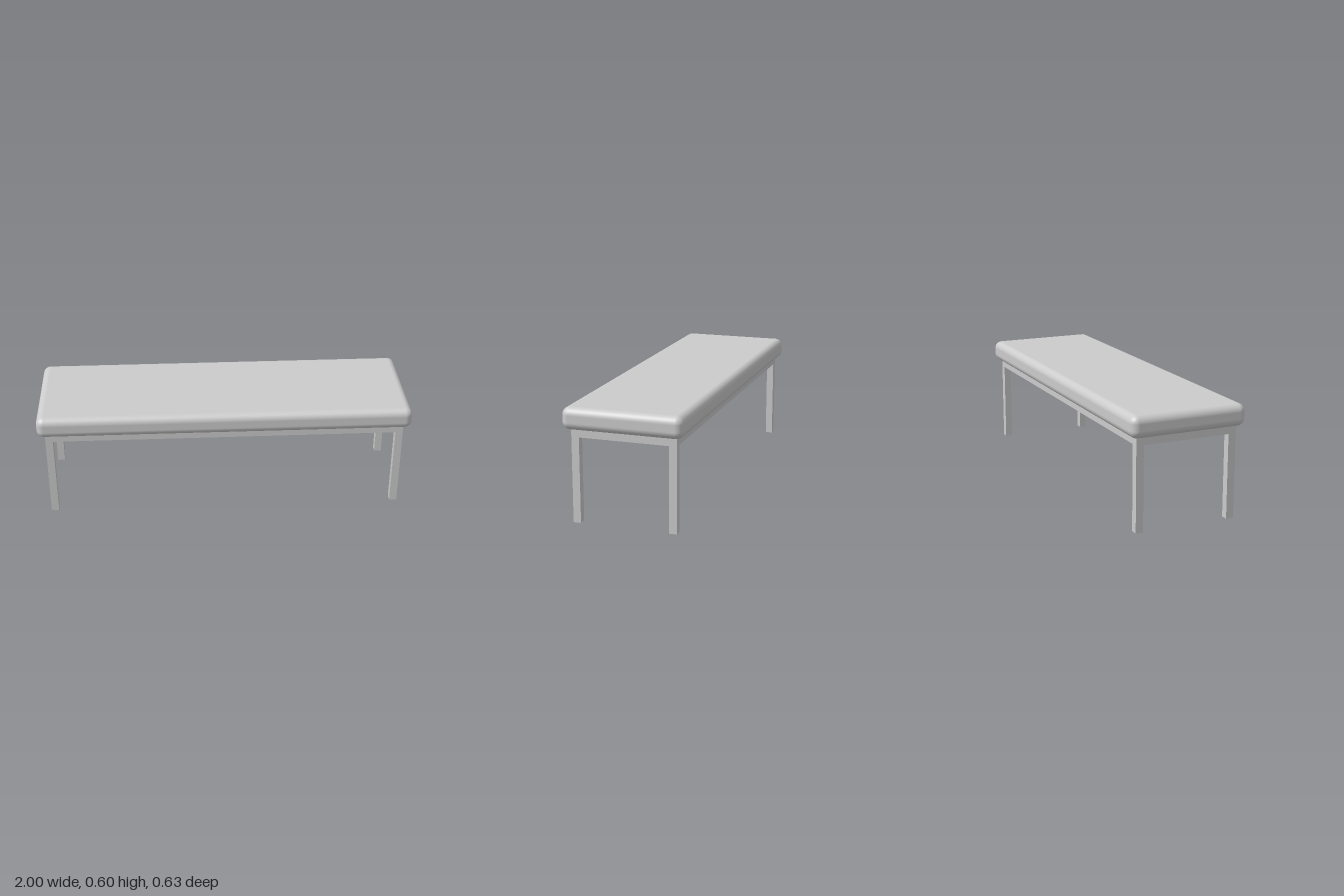
import * as THREE from 'three';
import { RoundedBoxGeometry } from 'three/addons/geometries/RoundedBoxGeometry.js';

export function createModel() {
  const bench = new THREE.Group();
  bench.name = 'bench';
  const material = new THREE.MeshStandardMaterial({ color: 0xcccccc });

  const bar = 0.04;          // square tube section
  const frameTop = 0.485;
  const legX = 0.94, legZ = 0.253; // leg centre lines

  const add = (name, geometry, x, y, z) => {
    const mesh = new THREE.Mesh(geometry, material);
    mesh.name = name;
    mesh.position.set(x, y, z);
    bench.add(mesh);
  };

  // Padded seat with rounded edges
  const seatHeight = 0.6 - frameTop;
  add('seatCushion', new RoundedBoxGeometry(2, seatHeight, 0.626, 6, 0.04), 0, frameTop + seatHeight / 2, 0);

  // Four square legs
  const legGeometry = new THREE.BoxGeometry(bar, frameTop, bar);
  for (const sx of [1, -1]) {
    for (const sz of [1, -1]) {
      const name = (sz > 0 ? 'front' : 'back') + (sx > 0 ? 'Left' : 'Right') + 'Leg';
      add(name, legGeometry, sx * legX, frameTop / 2, sz * legZ);
    }
  }

  // Rails joining the legs under the seat
  const railY = frameTop - bar / 2;
  const longRail = new THREE.BoxGeometry(legX * 2 - bar, bar, bar);
  const shortRail = new THREE.BoxGeometry(bar, bar, legZ * 2 - bar);
  for (const s of [1, -1]) {
    add(s > 0 ? 'frontRail' : 'backRail', longRail, 0, railY, s * legZ);
    add(s > 0 ? 'leftRail' : 'rightRail', shortRail, s * legX, railY, 0);
  }

  return bench;
}
